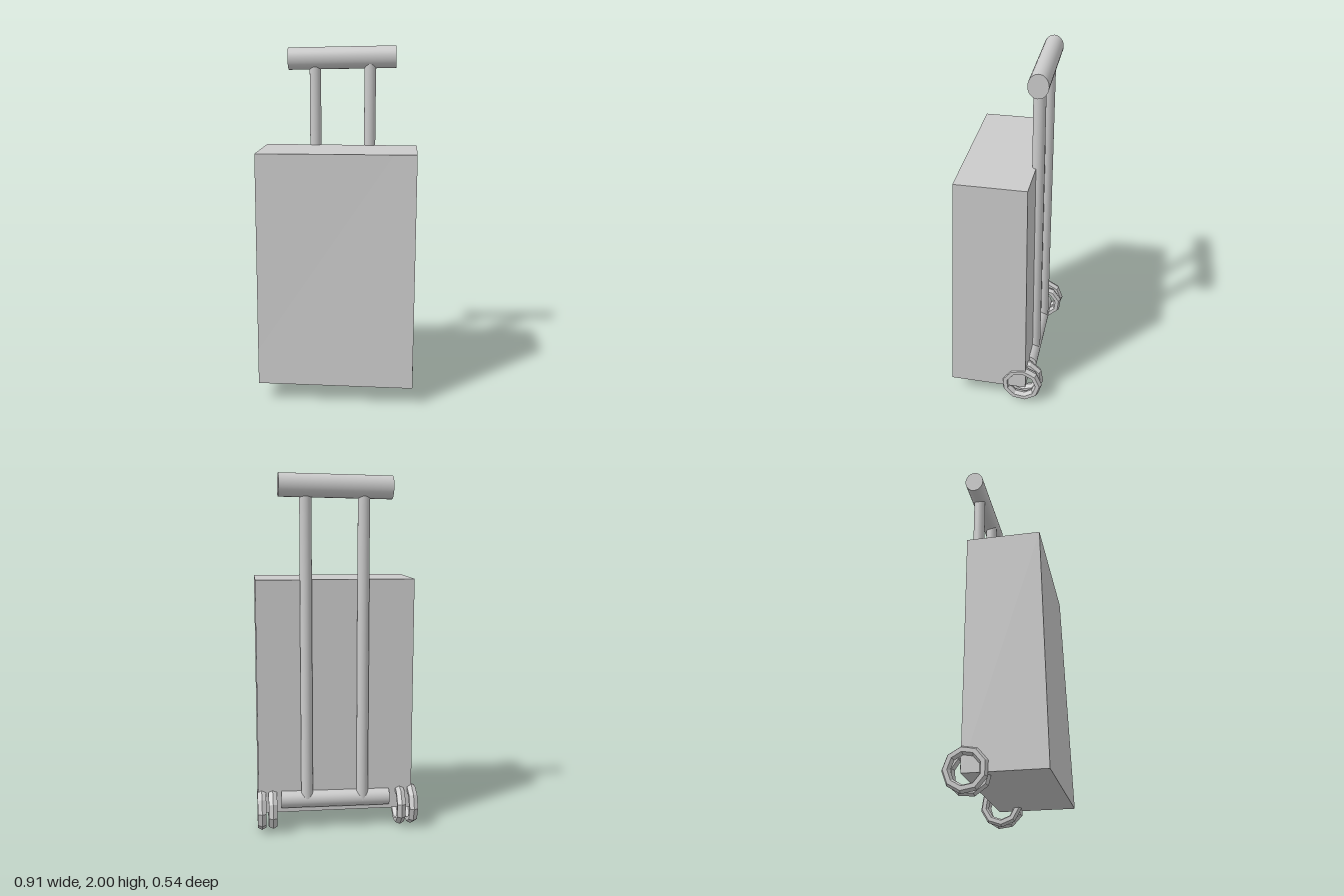
import * as THREE from 'three';

const grey = new THREE.MeshStandardMaterial({ color: 0xcccccc });
const faceted = new THREE.MeshStandardMaterial({ color: 0xcccccc, flatShading: true });

function add(parent, name, geometry, material = grey) {
  const mesh = new THREE.Mesh(geometry, material);
  mesh.name = name;
  parent.add(mesh);
  return mesh;
}

// Cylinder running from point a to point b
function rod(parent, name, a, b, radius, sides = 32) {
  const from = new THREE.Vector3(...a), to = new THREE.Vector3(...b);
  const dir = to.clone().sub(from);
  const mesh = add(parent, name, new THREE.CylinderGeometry(radius, radius, dir.length(), sides));
  mesh.position.copy(from).add(to).multiplyScalar(0.5);
  mesh.quaternion.setFromUnitVectors(new THREE.Vector3(0, 1, 0), dir.normalize());
  return mesh;
}

export function createModel() {
  const suitcase = new THREE.Group();
  suitcase.name = 'suitcase';

  // Case: a box whose front leans back towards the top, slightly more on the left
  const box = new THREE.BoxGeometry(0.88, 1.325, 0.44);
  box.translate(0.007, 0.7675, 0.045);
  const p = box.attributes.position;
  for (let i = 0; i < p.count; i++) {
    if (p.getZ(i) > 0 && p.getY(i) > 1) p.setZ(i, p.getX(i) < 0 ? 0.233 : 0.212);
  }
  box.computeVertexNormals();
  add(suitcase, 'case', box);

  // Telescopic handle: two poles and a slightly skewed grip
  for (const x of [-0.145, 0.172]) {
    rod(suitcase, 'handlePole', [x, 0.17, -0.183], [x, 1.9, -0.183], 0.033, 24);
  }
  const grip = rod(suitcase, 'grip', [-0.3, 1.924, -0.18], [0.319, 1.936, -0.197], 0.063);
  grip.scale.z = 0.84;

  // Axle half sunk into the lower back edge
  rod(suitcase, 'axle', [-0.3, 0.175, -0.165], [0.319, 0.18, -0.168], 0.05);

  // Two pairs of open, faceted wheels
  [-0.434, -0.364, 0.368, 0.43].forEach((x, i) => {
    const wheel = add(suitcase, 'wheel', new THREE.TorusGeometry(0.098, 0.023, 6, 9), faceted);
    wheel.rotation.set(0, Math.PI / 2, 0);
    wheel.rotateZ(i * 0.25);
    wheel.scale.z = 1.2;
    wheel.position.set(x, 0.122, -0.15);
  });

  return suitcase;
}
